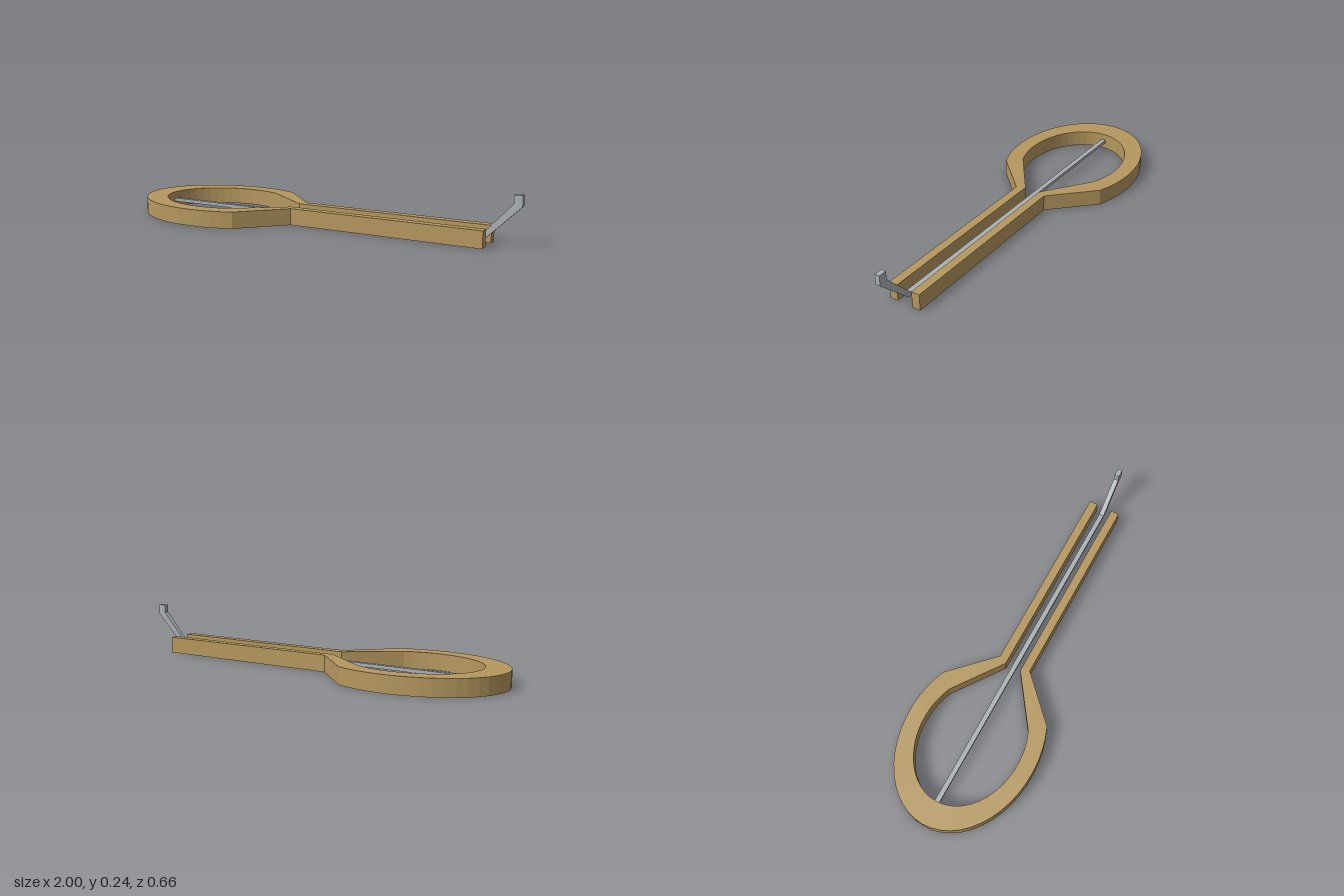
import * as THREE from 'three';

const FRAME_HEIGHT = 0.082;
const REED_WIDTH = 0.024;

// Points along the open ring, from one shoulder round the back to the other
function arc(rx, rz, segments = 32) {
  const start = Math.PI / 3, sweep = Math.PI * 4 / 3;
  return Array.from({ length: segments + 1 }, (_, i) => {
    const a = start + sweep * i / segments;
    return new THREE.Vector2(-0.55 + rx * Math.cos(a), rz * Math.sin(a));
  });
}

// One side of the frame: arm tip, arm root, ring, and the mirrored arm
function side(rx, rz, armX, armZ) {
  return [
    new THREE.Vector2(0.85, armZ), new THREE.Vector2(armX, armZ),
    ...arc(rx, rz),
    new THREE.Vector2(armX, -armZ), new THREE.Vector2(0.85, -armZ),
  ];
}

function extrude(name, points, depth, color) {
  const geometry = new THREE.ExtrudeGeometry(new THREE.Shape(points), { depth, bevelEnabled: false });
  const mesh = new THREE.Mesh(geometry, new THREE.MeshStandardMaterial({ color, flatShading: true }));
  mesh.name = name;
  return mesh;
}

export function createModel() {
  const model = new THREE.Group();
  model.name = 'jawHarp';

  // Brass frame: a ring that narrows into two parallel arms
  const outline = [...side(0.45, 0.33, -0.12, 0.082), ...side(0.33, 0.25, -0.14, 0.04).reverse()];
  const frame = extrude('frame', outline, FRAME_HEIGHT, 0xb5985f);
  frame.geometry.rotateX(-Math.PI / 2);

  // Steel reed: a thin strip between the arms, bent up into a trigger
  const profile = [
    [-0.88, 0.033], [0.84, 0.033], [1, 0.19], [1, 0.24],
    [0.96, 0.24], [0.96, 0.2], [0.822, 0.05], [-0.88, 0.05],
  ].map(([x, y]) => new THREE.Vector2(x, y));
  const reed = extrude('reed', profile, REED_WIDTH, 0xaab0b5);
  reed.geometry.translate(0, 0, -REED_WIDTH / 2);

  model.add(frame, reed);
  return model;
}
